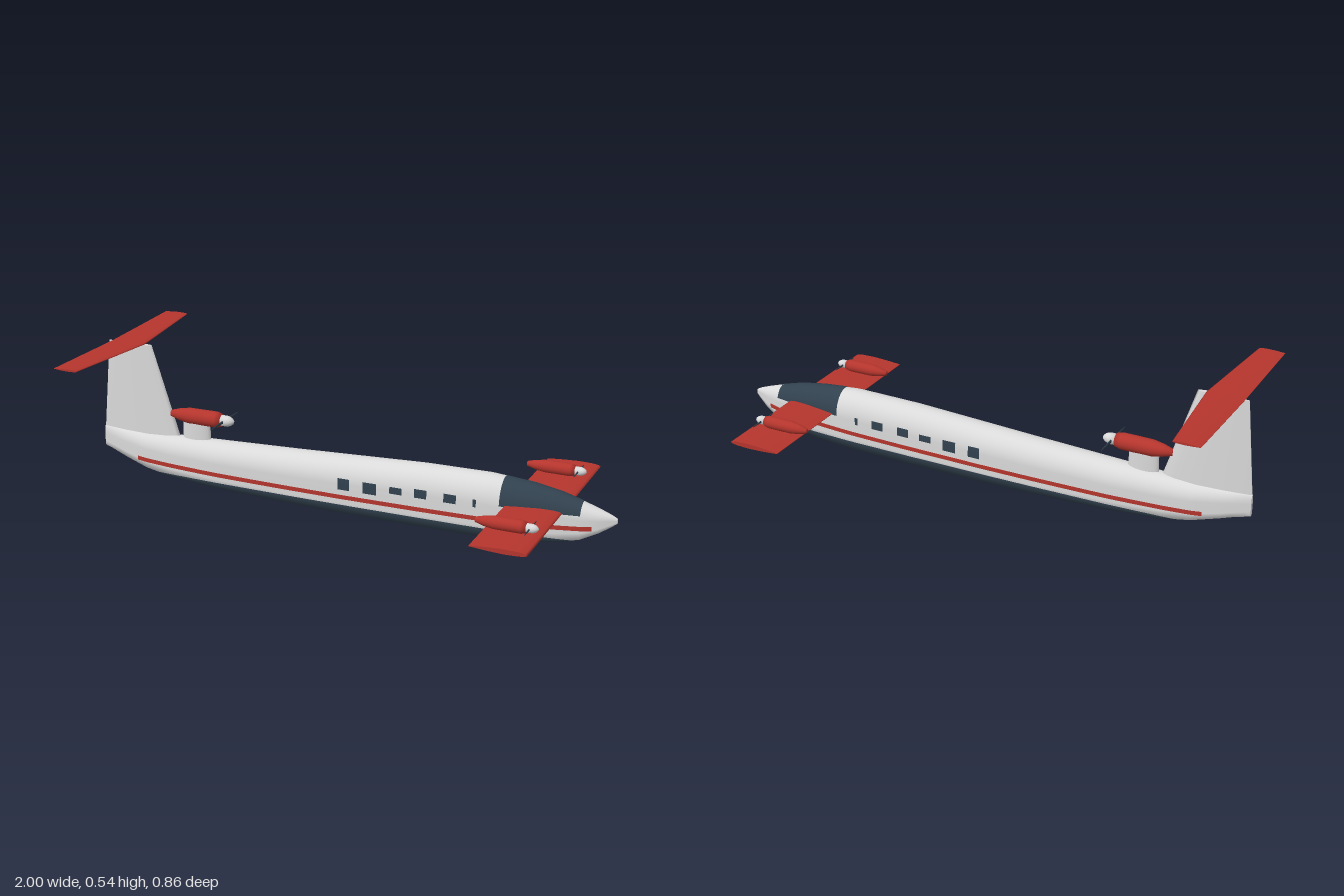
import * as THREE from 'three';

const flat = (name, color) => Object.assign(new THREE.MeshStandardMaterial({ color }), { name });

// Skin through rings of [x, y, z] points; closed rings wrap round and get end caps
function loft(rings, closed) {
  const n = rings[0].length, pos = rings.flat(2), index = [];
  for (let i = 0; i < rings.length - 1; i++) {
    for (let j = 0; j < (closed ? n : n - 1); j++) {
      const a = i * n + j, b = i * n + (j + 1) % n;
      index.push(a, a + n, b, b, a + n, b + n);
    }
  }
  if (closed) [rings[0], rings[rings.length - 1]].forEach((ring, end) => {
    const base = pos.length / 3;
    pos.push(...ring.flat(), ...[0, 1, 2].map(k => ring.reduce((s, p) => s + p[k], 0) / n));
    for (let j = 0; j < n; j++) {
      const a = base + j, b = base + (j + 1) % n;
      index.push(base + n, end ? b : a, end ? a : b);
    }
  });
  const g = new THREE.BufferGeometry();
  g.setAttribute('position', new THREE.Float32BufferAttribute(pos, 3));
  g.setIndex(index);
  g.computeVertexNormals();
  return g;
}

// Hull stations: x, keel height, roof height, half width
const STATIONS = [
  [-1, 0.105, 0.19, 0.008], [-0.9, 0.075, 0.19, 0.03], [-0.8, 0.047, 0.19, 0.047],
  [-0.7, 0.03, 0.192, 0.054], [-0.5, 0.016, 0.198, 0.064], [-0.2, 0.006, 0.209, 0.07],
  [0, 0.002, 0.218, 0.072], [0.3, 0, 0.232, 0.072], [0.55, 0, 0.235, 0.07],
  [0.7, 0.008, 0.222, 0.063], [0.8, 0.024, 0.205, 0.054], [0.88, 0.045, 0.183, 0.043],
  [0.94, 0.078, 0.164, 0.028], [0.98, 0.106, 0.15, 0.013], [1, 0.122, 0.14, 0.005],
];

function station(x, off = 0) {
  let i = 0;
  while (i < STATIONS.length - 2 && x > STATIONS[i + 1][0]) i++;
  const p = STATIONS[i], q = STATIONS[i + 1], t = (x - p[0]) / (q[0] - p[0]);
  const [b, r, w] = [1, 2, 3].map(k => p[k] + (q[k] - p[k]) * t);
  const keel = b - off, roof = r + off;
  return { keel, roof, width: w + off, chine: b + 0.1 * (r - b), shoulder: b + 0.6 * (r - b) };
}

// Half width of the hull at height y: V bottom, straight side, elliptical roof
function halfWidth(s, y) {
  if (y < s.chine) return s.width * Math.max(0, (y - s.keel) / (s.chine - s.keel));
  if (y < s.shoulder) return s.width;
  return s.width * Math.sqrt(Math.max(0, 1 - ((y - s.shoulder) / (s.roof - s.shoulder)) ** 2));
}

// Heights from low to high, closely spaced towards the roof
function heights(s, lo, hi) {
  const list = [lo];
  for (const y of [s.chine, s.shoulder]) if (y > lo + 0.001 && y < hi - 0.001) list.push(y);
  for (let k = 1; k < 10; k++) {
    const y = s.shoulder + (s.roof - s.shoulder) * Math.sin(k * Math.PI / 20);
    list.push(Math.min(hi, Math.max(lo, y)));
  }
  list.push(hi);
  return list;
}

const spread = (x0, x1, n) => Array.from({ length: n + 1 }, (_, i) => x0 + (x1 - x0) * i / n);

function wing(sections) {
  const foil = [[0, 0.08], [0.3, 0.35], [0.6, 0.5], [0.85, 0.42], [0.96, 0.24], [1, 0]];
  const ring = [...foil, ...foil.slice(0, -1).reverse().map(([u, v]) => [u, -v])];
  return loft(sections.map(({ x0, x1, y, z, t }) =>
    ring.map(([u, v]) => [x0 + (x1 - x0) * u, y + v * t, z])), true);
}

export function createModel() {
  const model = new THREE.Group();
  const white = flat('white paint', 0xdadada);
  const red = flat('red paint', 0xb5352d);
  const navy = flat('navy paint', 0x31414e);
  const add = (name, geometry, material, parent = model) => {
    const mesh = new THREE.Mesh(geometry, material);
    mesh.name = name;
    parent.add(mesh);
    return mesh;
  };

  // Fuselage: flying-boat hull with a V keel
  add('fuselage', loft(spread(-1, 1, 100).map(x => {
    const s = station(x);
    const ys = [s.keel, s.chine, ...[1, 2, 3].map(k => s.chine + (s.shoulder - s.chine) * k / 3)];
    for (let k = 1; k <= 10; k++) ys.push(s.shoulder + (s.roof - s.shoulder) * Math.sin(k * Math.PI / 20));
    const half = ys.map(y => [x, y, halfWidth(s, y)]);
    return [...half, ...half.slice(1, -1).reverse().map(([a, y, z]) => [a, y, -z])];
  }), true), white);

  // Navy bottom wrapped under the keel
  const OFF = 0.0015;
  add('hullBottom', loft(spread(-0.83, 0.895, 86).map(x => {
    const s = station(x, OFF), hi = Math.max(0.054, s.keel + 0.001);
    const mid = Math.min(s.chine, hi);
    const half = [s.keel, mid, hi].map(y => [x, y, halfWidth(s, y)]);
    return [...half.slice(1).reverse().map(([a, y, z]) => [a, y, -z]), ...half];
  }), false), navy);

  // Navy cockpit band over the roof
  add('cockpitBand', loft(spread(0.6, 0.88, 14).map(x => {
    const s = station(x, OFF);
    const lo = 0.145;
    const ys = Array.from({ length: 13 }, (_, k) => lo + (s.roof - lo) * Math.sin(k * Math.PI / 24));
    const half = ys.map(y => [x, y, halfWidth(s, y)]);
    return [...half, ...half.slice(0, -1).reverse().map(([a, y, z]) => [a, y, -z])];
  }), false), navy);

  // Side paint: thin skins that follow the hull on both sides
  const sidePaint = (name, x0, x1, n, lo, hi, material) => {
    for (const side of [1, -1]) {
      add(name, loft(spread(x0, x1, n).map(x => {
        const s = station(x, OFF);
        const row = heights(s, lo(x), hi(x)).map(y => [x, y, side * halfWidth(s, y)]);
        return side > 0 ? row : row.reverse();
      }), false), material);
    }
  };
  const stripe = x => 0.083 + 0.012 * Math.abs((x - 0) / 0.9) ** 4 + 0.005 * Math.max(0, x);
  sidePaint('stripe', -0.84, 0.92, 88, x => stripe(x) - 0.007, x => stripe(x) + 0.009, red);
  const windows = [[0.02, 0.045, 0.112, 0.154], [0.12, 0.052, 0.112, 0.154], [0.22, 0.047, 0.128, 0.153],
    [0.313, 0.046, 0.128, 0.16], [0.422, 0.046, 0.128, 0.16], [0.512, 0.012, 0.128, 0.156]];
  for (const [x, w, lo, hi] of windows) sidePaint('window', x - w / 2, x + w / 2, 2, () => lo, () => hi, navy);

  // Lifting surfaces
  add('foreWing', wing([-0.43, 0.43].map(z => ({ x0: 0.62, x1: 0.82, y: 0.148, z, t: 0.018 }))), red);
  add('tailplane', wing([
    { x0: -0.95, x1: -0.855, y: 0.537, z: -0.4, t: 0.008 },
    { x0: -0.95, x1: -0.815, y: 0.53, z: 0, t: 0.011 },
    { x0: -0.95, x1: -0.855, y: 0.537, z: 0.4, t: 0.008 },
  ]), red);
  add('fin', wing([
    { x0: -1, x1: -0.67, y: 0, z: 0.17, t: 0.036 },
    { x0: -0.965, x1: -0.785, y: 0, z: 0.53, t: 0.021 },
  ]).rotateX(-Math.PI / 2), white);

  // Engine: nacelle, spinner and two-bladed propeller; origin at the propeller
  const turned = points => new THREE.LatheGeometry(points.map(p => new THREE.Vector2(...p)), 24).rotateZ(-Math.PI / 2);
  const engine = (name, x, y, z, r, length, blade) => {
    const g = new THREE.Group();
    g.name = name;
    g.position.set(x, y, z);
    add('nacelle', turned([[0, -length], [r * 0.4, -length], [r * 0.75, -length * 0.84], [r * 0.98, -length * 0.66],
      [r, -length * 0.4], [r, -length * 0.15], [r * 0.8, -0.012], [0, -0.012]]), red, g);
    add('spinner', turned([[0, -0.014], [r * 0.68, -0.012], [r * 0.68, r * 0.4], [r * 0.52, r * 0.85],
      [r * 0.28, r * 1.15], [0, r * 1.27]]), white, g);
    for (const side of [1, -1]) {
      const geo = new THREE.CylinderGeometry(r * 0.08, r * 0.22, blade, 10);
      geo.scale(0.6, 1, 1).translate(0, blade / 2, 0).rotateX(side * Math.PI / 2);
      add('propellerBlade', geo, navy, g);
    }
    model.add(g);
  };
  engine('tailEngine', -0.488, 0.277, 0, 0.03, 0.222, 0.1);
  for (const side of [1, -1]) engine('wingEngine', 0.78, 0.178, side * 0.28, 0.023, 0.19, 0.062);

  // Pylon carrying the upper engine
  const pylon = new THREE.CylinderGeometry(0.055, 0.058, 0.085, 24).scale(1, 1, 0.32);
  add('enginePylon', pylon, white).position.set(-0.605, 0.222, 0);

  return model;
}
